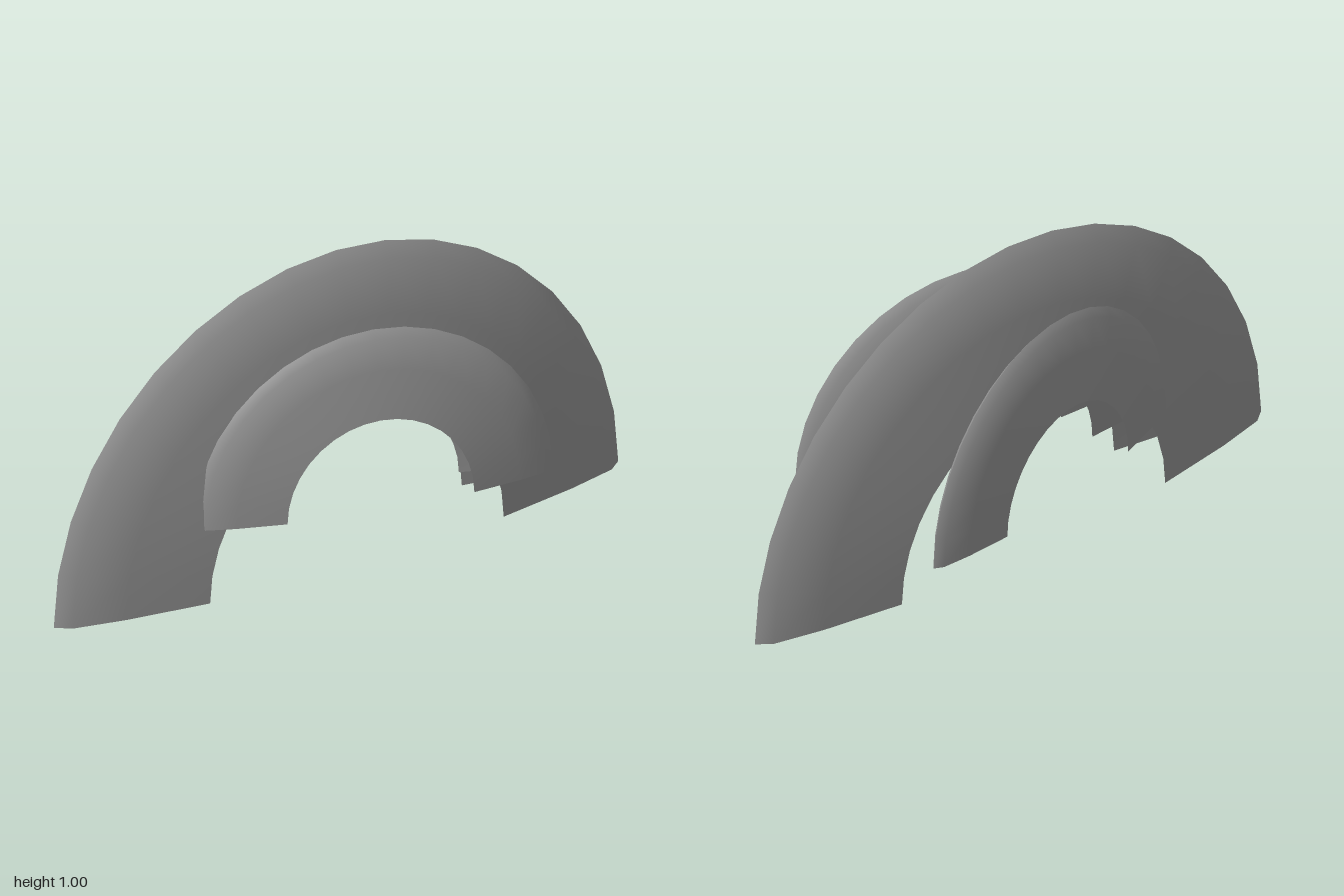
import * as THREE from 'three';
import { toCreasedNormals } from 'three/addons/utils/BufferGeometryUtils.js';

// Half of the arch's cross-section: [radius, half thickness], from the ridge inwards
const PROFILE = [[1, 0], [0.955, 0.035], [0.79, 0.074], [0.52, 0.118]];

// Hollow half ring with a sharp outer ridge, open at the inside and at both feet
function archGeometry() {
  const back = PROFILE.slice(1).reverse().map(([r, d]) => new THREE.Vector2(r, -d));
  const front = PROFILE.map(([r, d]) => new THREE.Vector2(r, d));
  const geometry = new THREE.LatheGeometry([...back, ...front], 18, -Math.PI / 2, Math.PI);
  geometry.rotateX(-Math.PI / 2); // stand the half ring up in the xy plane
  return toCreasedNormals(geometry, THREE.MathUtils.degToRad(40));
}

export function createModel() {
  const group = new THREE.Group();
  group.name = 'crest';
  const material = new THREE.MeshStandardMaterial({ color: 0x999999, side: THREE.DoubleSide });
  const geometry = archGeometry();

  // Large central arch
  const mainArch = new THREE.Mesh(geometry, material);
  mainArch.name = 'mainArch';
  group.add(mainArch);

  // Smaller arches on both faces, splayed away from the main one towards +x
  for (const side of [1, -1]) {
    const arch = new THREE.Mesh(geometry, material);
    arch.name = side > 0 ? 'frontSideArch' : 'backSideArch';
    arch.scale.setScalar(0.574);
    arch.position.set(0.006, 0.245, side * 0.2);
    arch.rotation.y = -side * THREE.MathUtils.degToRad(12);
    group.add(arch);
  }
  return group;
}
